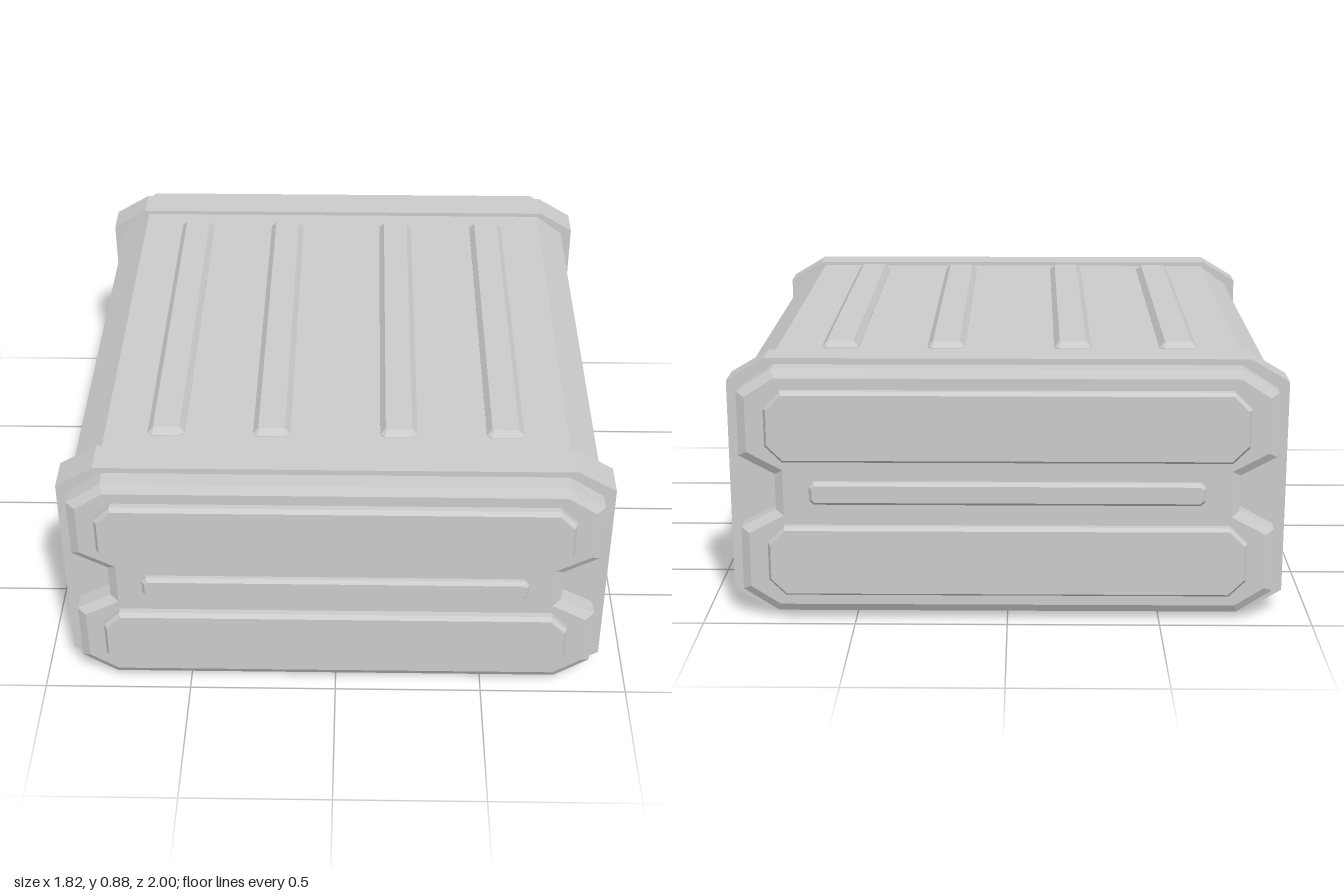
import * as THREE from 'three';

const mat = new THREE.MeshStandardMaterial({ color: 0xcccccc, flatShading: true });
const MID = 0.44; // mid height of the crate

// Octagonal outline about the origin, optionally with a notch in each side
function outline(hw, hh, cx, cy, notch) {
  const right = [[hw - cx, -hh], [hw, cy - hh]];
  if (notch) {
    const { x, outer, inner } = notch;
    right.push([hw, -outer], [x, -inner], [x, inner], [hw, outer]);
  }
  right.push([hw, hh - cy], [hw - cx, hh]);
  const left = right.map(([x, y]) => [-x, -y]);
  return new THREE.Shape([...right, ...left].map(([x, y]) => new THREE.Vector2(x, y)));
}

// Extrudes from z0 to z1; the bevel narrows only the z1 end by "inset"
function slab(shape, z0, z1, inset = 0, bevel = 0) {
  const geo = new THREE.ExtrudeGeometry(shape, {
    depth: z1 - z0 - 2 * bevel, bevelEnabled: bevel > 0, bevelSegments: 1,
    bevelThickness: bevel, bevelSize: inset, bevelOffset: -inset,
  });
  geo.translate(0, 0, z0 + bevel);
  return geo;
}

export function createModel() {
  const group = new THREE.Group();
  const add = (parent, name, geo, x = 0, y = 0, z = 0) => {
    const mesh = new THREE.Mesh(geo, mat);
    mesh.name = name;
    mesh.position.set(x, y, z);
    parent.add(mesh);
    return mesh;
  };

  // Main body with a groove along each side
  const bodyShape = outline(0.87, 0.418, 0.1, 0.075, { x: 0.77, outer: 0.103, inner: 0.045 });
  add(group, 'body', slab(bodyShape, -0.8, 0.8), 0, MID);

  // Vertical slats bridging the side grooves
  const slatGeo = new THREE.BoxGeometry(0.12, 0.195, 0.085);
  for (const side of [-1, 1])
    for (let i = -4; i <= 4; i++)
      add(group, 'sideSlat', slatGeo, side * 0.808, MID + 0.003, i * 0.169);

  // Raised strips on the lid and underside
  const stripShape = outline(0.062, 0.695, 0.015, 0.015);
  const stripGeo = slab(stripShape, -0.035, 0.022, 0.018, 0.02);
  for (const x of [-0.565, -0.215, 0.207, 0.56]) {
    add(group, 'topStrip', stripGeo, x, 0.858, 0).rotation.x = -Math.PI / 2;
    add(group, 'bottomStrip', stripGeo, x, 0.022, 0).rotation.x = Math.PI / 2;
  }

  // Both ends are alike: collar, notched cap, two panels and a centre bar
  const collar = slab(outline(0.91, 0.432, 0.125, 0.075), 0.77, 0.89);
  const capShape = outline(0.87, 0.412, 0.115, 0.075, { x: 0.755, outer: 0.122, inner: 0.06 });
  const cap = slab(capShape, 0.86, 0.965, 0.028, 0.017);
  const panel = slab(outline(0.78, 0.118, 0.055, 0.055), 0.93, 1, 0.01, 0.015);
  const bar = slab(outline(0.642, 0.038, 0.015, 0.015), 0.93, 0.99, 0.01, 0.012);
  for (const front of [true, false]) {
    const end = new THREE.Group();
    end.name = front ? 'frontEnd' : 'backEnd';
    if (!front) end.rotation.y = Math.PI;
    add(end, 'collar', collar, 0, MID);
    add(end, 'endCap', cap, 0, MID);
    add(end, 'upperPanel', panel, 0, MID + 0.228);
    add(end, 'lowerPanel', panel, 0, MID - 0.226);
    add(end, 'centreBar', bar, 0, MID + 0.003);
    group.add(end);
  }
  return group;
}
